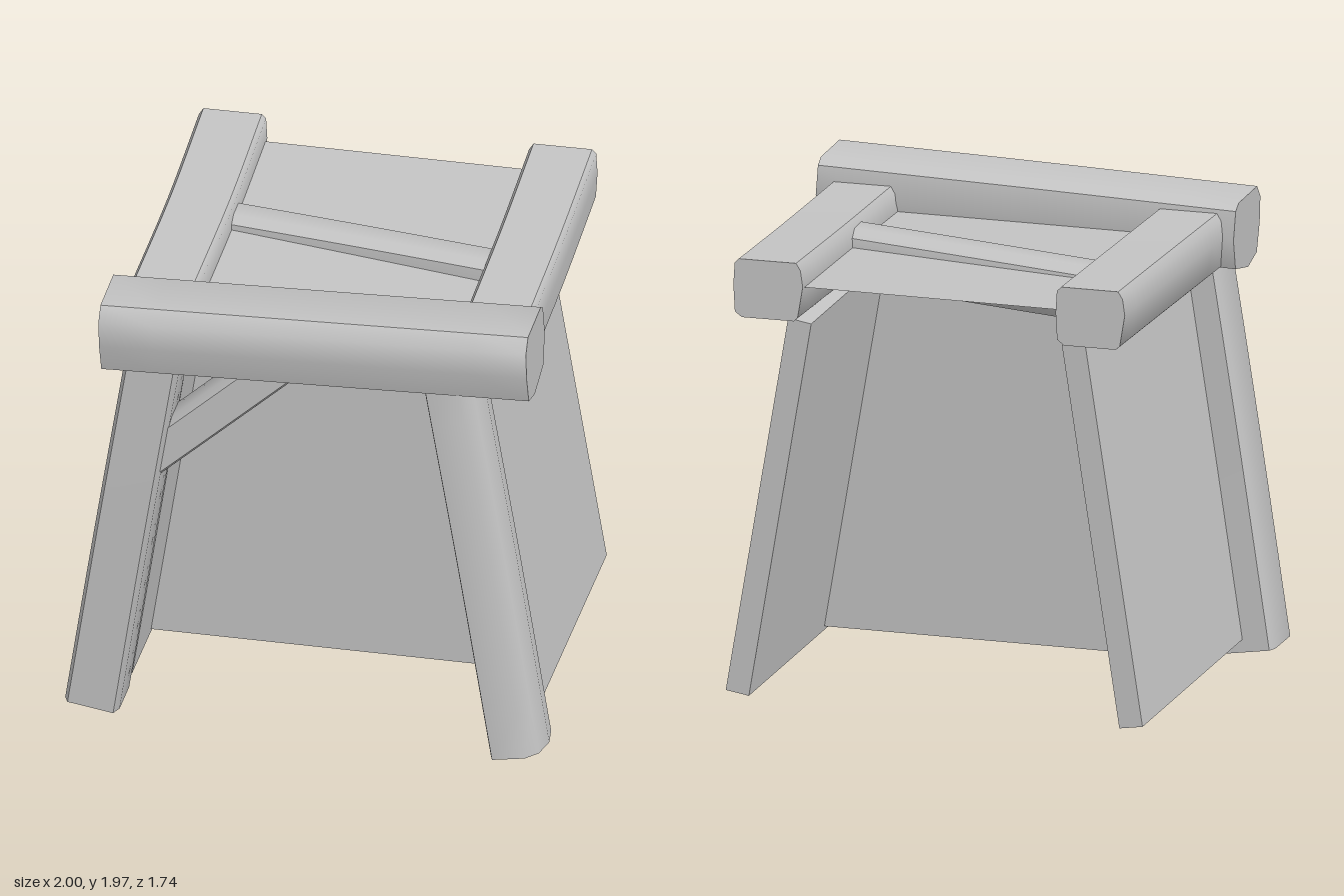
import * as THREE from 'three';
import { toCreasedNormals } from 'three/addons/utils/BufferGeometryUtils.js';

const V = (p) => new THREE.Vector3(...p);

// Rough-hewn cross-sections, counter-clockwise, [side, up]
const lintelSection = [[-0.18, 0.1], [-0.18, -0.01], [-0.15, -0.13], [-0.03, -0.16], [0.15, -0.12],
  [0.19, 0.01], [0.17, 0.13], [0.13, 0.155], [-0.13, 0.155]];
const beamSection = [[1, 0.1], [0.97, 0.85], [0.85, 1], [-0.8, 1], [-0.93, 0.75], [-1, 0.2],
  [-0.86, -0.88], [-0.75, -1], [0.75, -1], [0.95, -0.82]];
const rightPostSection = [[1, 0.75], [0.85, 1], [-0.85, 1], [-1, 0.65], [-1, -0.75], [-0.8, -1],
  [0.85, -1], [1, -0.8]];
const leftPostSection = [[1, 0.65], [0.86, 1], [-0.35, 1], [-0.8, 0.7], [-1, 0], [-0.87, -0.75],
  [-0.5, -1], [0.85, -1], [1, -0.7]];
const boardSection = [[1, -0.8], [1, 0.6], [0.75, 1], [-0.85, 1], [-1, 0.75], [-1, -1], [0.8, -1]];
const crossSection = [[1, 0.2], [0.85, 0.75], [0.4, 1], [-0.5, 1], [-0.92, 0.8], [-1, 0.1],
  [-0.95, -0.35], [-0.4, -1], [0.4, -1], [0.9, -0.5]];
const scaled = (section, w, h) => section.map(([s, u]) => [s * w, u * h]);

// Log: one section swept along a gently bent path; the start may be left open
function logGeometry(path, section, ref, openStart = false) {
  const pts = path.map(V);
  const curve = new THREE.CatmullRomCurve3(pts);
  const dir = pts[pts.length - 1].clone().sub(pts[0]).normalize();
  const up = V(ref).addScaledVector(dir, -V(ref).dot(dir)).normalize();
  const side = up.clone().cross(dir);
  const rings = 8, n = section.length, pos = [], idx = [];
  for (let r = 0; r <= rings; r++) {
    const c = curve.getPoint(r / rings);
    for (const [s, u] of section) {
      const p = c.clone().addScaledVector(side, s).addScaledVector(up, u);
      pos.push(p.x, p.y, p.z);
    }
  }
  for (let r = 0; r < rings; r++) {
    for (let i = 0; i < n; i++) {
      const a = r * n + i, b = r * n + (i + 1) % n;
      idx.push(a, b, b + n, a, b + n, a + n);
    }
  }
  const e = rings * n;
  for (let i = 1; i < n - 1; i++) {
    idx.push(e, e + i, e + i + 1);
    if (!openStart) idx.push(0, i + 1, i);
  }
  const g = new THREE.BufferGeometry();
  g.setAttribute('position', new THREE.Float32BufferAttribute(pos, 3));
  g.setIndex(idx);
  return toCreasedNormals(g, 0.75);
}

export function createModel() {
  const group = new THREE.Group();
  const grey = new THREE.MeshStandardMaterial({ color: 0xc4c4c4, side: THREE.DoubleSide });
  grey.name = 'plain grey';

  const add = (name, geometry) => {
    const mesh = new THREE.Mesh(geometry, grey);
    mesh.name = name;
    group.add(mesh);
    return mesh;
  };
  const Y = [0, 1, 0], Z = [0, 0, 1];

  // Front frame: two leaning posts with hollow feet, the lintel and a corner brace
  add('rightPost', logGeometry([[-0.89, 0.035, 0.665], [-0.765, 0.85, 0.675], [-0.617, 1.78, 0.68]],
    scaled(rightPostSection, 0.113, 0.13), Z, true));
  add('leftPost', logGeometry([[0.885, 0.02, 0.685], [0.75, 0.85, 0.68], [0.592, 1.78, 0.68]],
    scaled(leftPostSection, 0.114, 0.135), Z, true));
  add('lintel', logGeometry([[-0.84, 1.772, 0.69], [0.05, 1.797, 0.68], [0.935, 1.82, 0.665]], lintelSection, Y));
  add('brace', logGeometry([[-0.75, 1.115, 0.68], [-0.41, 1.423, 0.68], [-0.08, 1.723, 0.68]],
    scaled(boardSection, 0.083, 0.09), Z));

  // Roof frame: two side beams and a skewed crossbeam
  add('rightSideBeam', logGeometry([[-0.665, 1.815, -0.865], [-0.65, 1.785, -0.2], [-0.65, 1.765, 0.55]],
    scaled(beamSection, 0.147, 0.122), Y));
  add('leftSideBeam', logGeometry([[0.71, 1.815, -0.865], [0.725, 1.785, -0.2], [0.735, 1.765, 0.55]],
    scaled(beamSection, 0.147, 0.122), Y));
  add('crossbeam', logGeometry([[-0.66, 1.73, -0.25], [0.05, 1.745, -0.13], [0.8, 1.757, 0]],
    scaled(crossSection, 0.107, 0.118), Y));

  // Side walls: slabs leaning inward in line with the posts
  for (const [name, side, foot, lean] of [['leftWall', 1, 0.86, 0.165], ['rightWall', -1, 0.82, 0.152]]) {
    const wall = new THREE.BoxGeometry(0.1, 1.62, 1.35);
    wall.translate(0, 0.81, 0);
    const mesh = add(name, wall);
    mesh.position.set(side * foot, 0.08, -0.13);
    mesh.rotation.z = side * lean;
  }

  // Thin roof sheet sloping with the beams, and inner partition
  const roof = new THREE.PlaneGeometry(1.25, 1.43);
  roof.rotateX(-Math.PI / 2 + 0.035);
  add('roof', roof).position.set(0.025, 1.805, -0.115);
  const panel = new THREE.Shape([[-0.79, 0.09], [0.83, 0.09], [0.56, 1.79], [-0.54, 1.79]]
    .map(([x, y]) => new THREE.Vector2(x, y)));
  add('partition', new THREE.ShapeGeometry(panel)).position.z = 0.2;

  return group;
}
